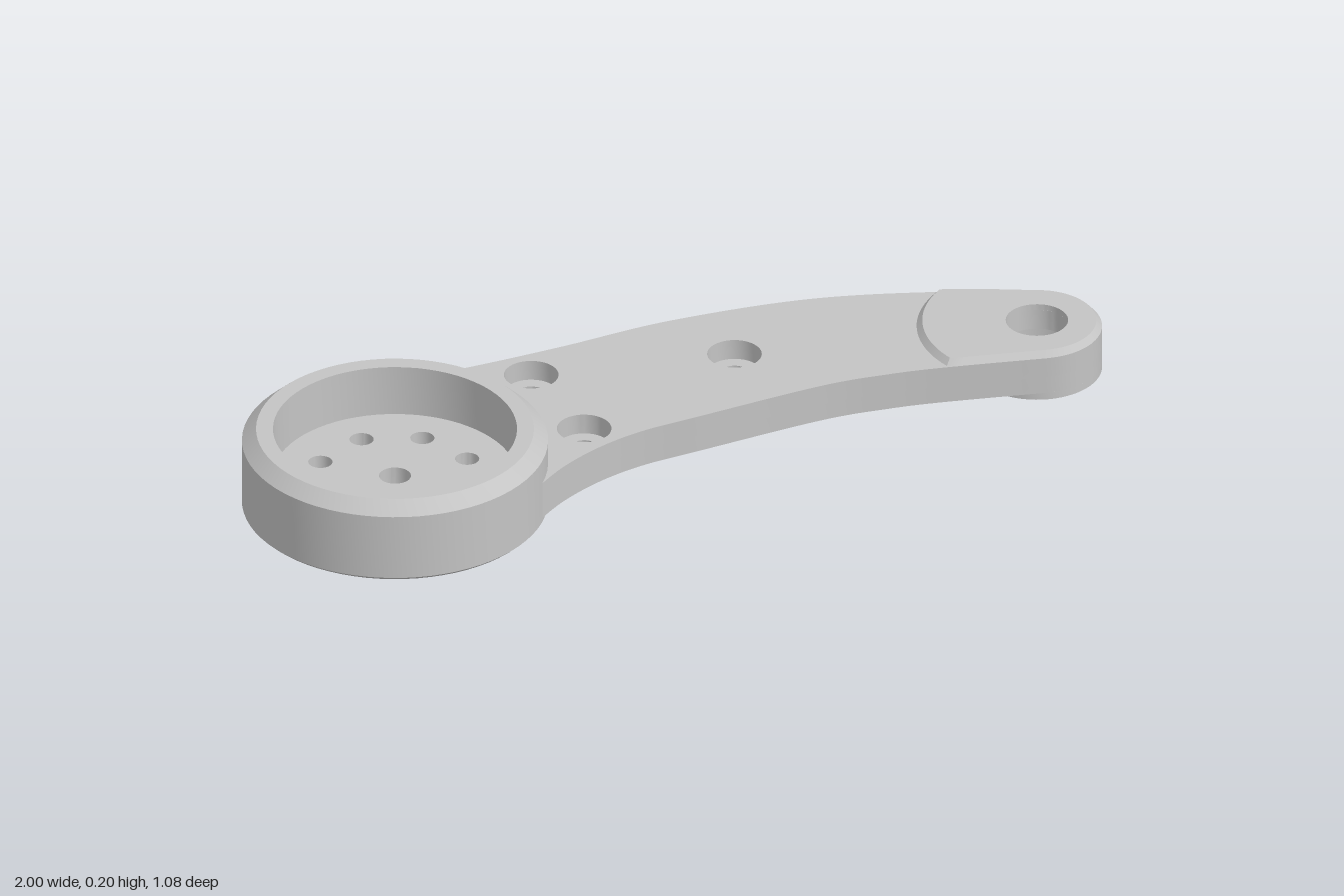
import * as THREE from 'three';
import { toCreasedNormals } from 'three/addons/utils/BufferGeometryUtils.js';

const V = (x, z) => new THREE.Vector2(x, z);
const CUP = V(-0.6475, -0.187), END = V(0.85, 0.388);
const END_R = 0.15, PAD_R = 0.277, BORE_R = 0.072, SHOULDER = 0.06;
const BOLTS = [V(-0.144, -0.258), V(-0.226, 0.003), V(0.259, -0.002)];

// Points of an arc in the x-z plane
const arc = (c, r, from, to, n) => Array.from({ length: n + 1 }, (_, i) => {
  const a = from + (to - from) * i / n;
  return V(c.x + r * Math.cos(a), c.y + r * Math.sin(a));
});
const circle = (c, r, n = 40) => arc(c, r, 0, Math.PI * 2, n).slice(0, n);
const rad = THREE.MathUtils.degToRad;

// Shape lying flat: plan z becomes -y, outline turned counter-clockwise
function planShape(points, holes) {
  const flip = (pts) => pts.map((p) => V(p.x, -p.y));
  const shape = new THREE.Shape(flip(points).reverse());
  shape.holes = holes.map((h) => new THREE.Path(flip(h)));
  return shape;
}

function slab(points, holes, y0, y1) {
  const g = new THREE.ExtrudeGeometry(planShape(points, holes), { depth: y1 - y0, bevelEnabled: false });
  g.rotateX(-Math.PI / 2).translate(0, y0, 0);
  return toCreasedNormals(g, 0.5);
}

// Moves a closed plan outline inward
function inset(points, s) {
  const n = points.length;
  const normal = (a, b) => V(a.y - b.y, b.x - a.x).normalize();
  return points.map((p, i) => {
    const n1 = normal(points[(i + n - 1) % n], p), n2 = normal(p, points[(i + 1) % n]);
    const k = s / (1 + n1.dot(n2));
    return V(p.x + (n1.x + n2.x) * k, p.y + (n1.y + n2.y) * k);
  });
}

// Sloping band between two closed outlines
function band(lower, upper, y0, y1) {
  const pos = [];
  lower.forEach((a, i) => {
    const j = (i + 1) % lower.length, b = lower[j], c = upper[i], d = upper[j];
    pos.push(a.x, y0, a.y, c.x, y1, c.y, b.x, y0, b.y);
    pos.push(c.x, y1, c.y, d.x, y1, d.y, b.x, y0, b.y);
  });
  const g = new THREE.BufferGeometry();
  g.setAttribute('position', new THREE.Float32BufferAttribute(pos, 3));
  g.computeVertexNormals();
  return toCreasedNormals(g, 0.5);
}

function lathe(profile, c) {
  const g = new THREE.LatheGeometry(profile.map(([r, y]) => V(r, y)), 72);
  return toCreasedNormals(g, 0.5).translate(c.x, 0, c.y);
}

export function createModel() {
  const model = new THREE.Group();
  model.name = 'leverArm';
  const grey = new THREE.MeshStandardMaterial({ color: 0xc4c4c4 });
  grey.name = 'grey';
  const add = (name, geometry) => {
    const mesh = new THREE.Mesh(geometry, grey);
    mesh.name = name;
    model.add(mesh);
  };

  // Round cup: chamfered wall and drilled floor
  add('cupWall', lathe([[0.24, 0.006], [0.24, 0], [0.344, 0], [0.3525, 0.008], [0.3525, 0.17],
    [0.32, 0.2], [0.281, 0.2], [0.281, 0.07]], CUP));
  const drillings = arc(CUP, 0.183, rad(19), rad(334), 7).map((p) => circle(p, 0.028, 24));
  add('cupFloor', slab(circle(CUP, 0.283, 72), [circle(CUP, 0.037, 24), ...drillings], 0.005, 0.075));

  // Curved arm outline, from the cup round the small end and back
  const backEdge = new THREE.SplineCurve([V(-0.475, -0.493), V(-0.35, -0.437), V(-0.2, -0.373), V(0, -0.3),
    V(0.257, -0.214), V(0.55, -0.067), V(0.79, 0.117), V(0.961, 0.288)]).getPoints(84);
  const frontEdge = new THREE.SplineCurve([V(0.763, 0.511), V(0.57, 0.382), V(0.45, 0.311), V(0.3, 0.241),
    V(0, 0.146), V(-0.14, 0.104), V(-0.26, 0.089), V(-0.38, 0.096), V(-0.486, 0.121)]).getPoints(80);
  const tip = arc(END, END_R, rad(-42), rad(125), 36).slice(1, -1);
  const rim = [...backEdge, ...tip, ...frontEdge];
  const outline = [...rim, ...arc(CUP, 0.345, rad(61), rad(-59), 30).slice(1, -1)];

  // Two layers give the stepped bolt holes and the stepped end bore
  const bolts = (r) => BOLTS.map((p) => circle(p, r));
  add('armLower', slab(outline, [...bolts(0.032), circle(END, 0.108, 48)], 0.018, SHOULDER));
  add('armUpper', slab(outline, [...bolts(0.063), circle(END, BORE_R, 48)], SHOULDER, 0.11));

  // Foot ring below the small end
  add('endFoot', slab(circle(END, END_R, 64), [circle(END, 0.108, 48)], 0, 0.018));

  // Raised pad with bevelled edge above the small end
  const edge = rim.filter((p) => p.distanceTo(END) < PAD_R);
  const angle = (p) => (Math.atan2(p.y - END.y, p.x - END.x) + Math.PI * 2) % (Math.PI * 2);
  const padArc = arc(END, PAD_R, angle(edge[edge.length - 1]), angle(edge[0]), 24).slice(1, -1);
  const pad = [...edge, ...padArc];
  const padTop = inset(pad, 0.013);
  add('endPadBevel', band(pad, padTop, 0.11, 0.125));
  const cap = new THREE.ShapeGeometry(planShape(padTop, [circle(END, BORE_R, 48)]));
  add('endPadTop', cap.rotateX(-Math.PI / 2).translate(0, 0.125, 0));
  add('endBore', lathe([[BORE_R, 0.125], [BORE_R, 0.11]], END));

  return model;
}
